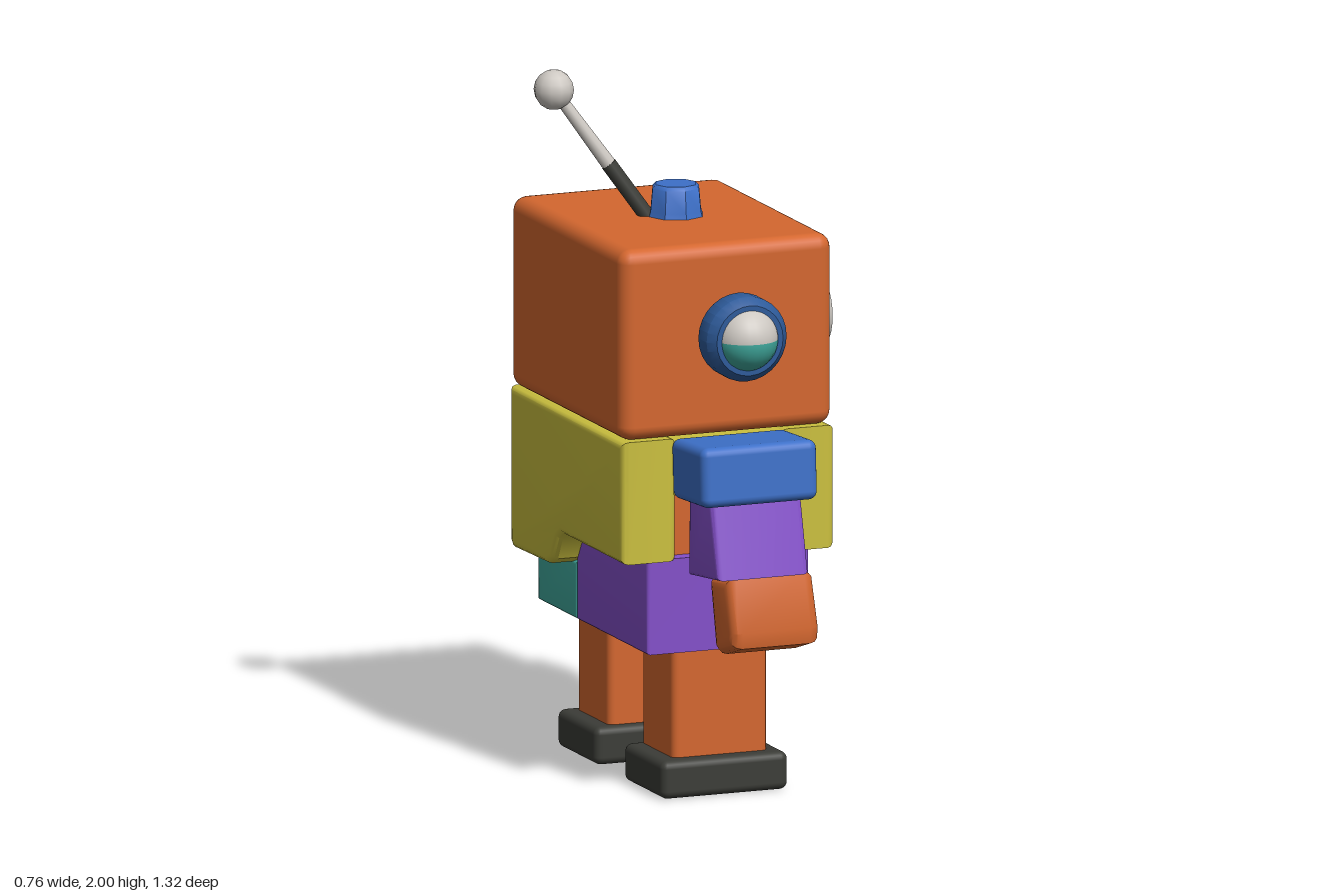
import * as THREE from 'three';
import { toCreasedNormals } from 'three/addons/utils/BufferGeometryUtils.js';
import { RoundedBoxGeometry } from 'three/addons/geometries/RoundedBoxGeometry.js';

const mat = (name, color) => new THREE.MeshStandardMaterial({ name, color });

export function createModel() {
  const M = {
    orange: mat('orange', 0xd4672f),
    yellow: mat('yellow', 0xcbc03f),
    purple: mat('purple', 0x8450ca),
    teal: mat('teal', 0x40a99d),
    blue: mat('blue', 0x3d70c8),
    navy: mat('darkBlue', 0x2e5b9a),
    pale: mat('paleGrey', 0xcdc8c2),
    dark: mat('charcoal', 0x3b3c37),
  };
  const model = new THREE.Group();
  model.name = 'robot';

  const add = (name, geo, material, parent = model) => {
    const mesh = new THREE.Mesh(geo, material);
    mesh.name = name;
    parent.add(mesh);
    return mesh;
  };

  // Rounded box given by its limits on each axis
  const box = (name, material, [x0, x1], [y0, y1], [z0, z1], r = 0.02) => {
    const mesh = add(name, new RoundedBoxGeometry(x1 - x0, y1 - y0, z1 - z0, 3, r), material);
    mesh.position.set((x0 + x1) / 2, (y0 + y1) / 2, (z0 + z1) / 2);
    return mesh;
  };

  // Bevelled slab: outline in (z, y), extruded along x
  const slab = (name, material, outline, x0, x1, b = 0.02) => {
    const pts = outline.map(([z, y]) => new THREE.Vector2(-z, y));
    const geo = new THREE.ExtrudeGeometry(new THREE.Shape(pts), {
      depth: x1 - x0 - 2 * b, bevelEnabled: true, bevelSize: b,
      bevelThickness: b, bevelOffset: -b, bevelSegments: 3, curveSegments: 4,
    });
    geo.translate(0, 0, x0 + b).rotateY(Math.PI / 2);
    return add(name, toCreasedNormals(geo, 0.6), material);
  };

  // Turned part from (radius, height) points, smooth with kept edges
  const turned = (profile, sides) => toCreasedNormals(
    new THREE.LatheGeometry(profile.map(([r, h]) => new THREE.Vector2(r, h)), sides), 0.7);

  // Head, facing +x
  box('head', M.orange, [-0.33, 0.31], [1.035, 1.58], [-0.42, 0.405], 0.04);

  // Eyes: pale rim with a domed dark lens
  for (const z of [0.19, -0.205]) {
    const eye = new THREE.Group();
    eye.name = 'eye';
    eye.position.set(0.3, 1.32, z);
    eye.rotation.z = -Math.PI / 2;
    model.add(eye);
    add('eyeRim', turned([[0.117, 0], [0.117, 0.035], [0.105, 0.052], [0.086, 0.054], [0.08, 0.04]], 28), M.pale, eye);
    add('eyeLens', turned([[0.088, 0.046], [0.075, 0.06], [0.045, 0.07], [0, 0.074]], 28), M.dark, eye);
  }

  // Ears: dark blue drum with a ball lamp, pointing outward along z
  for (const s of [1, -1]) {
    const ear = new THREE.Group();
    ear.name = 'ear';
    ear.position.set(0.005, 1.325, s * 0.4);
    model.add(ear);
    const drum = add('earDrum', turned([[0.09, 0], [0.1, 0.02], [0.121, 0.045], [0.121, 0.105], [0.1, 0.13], [0, 0.13]], 28), M.navy, ear);
    drum.rotation.x = s * Math.PI / 2;
    const ball = (name, material, start, length) => {
      const mesh = add(name, new THREE.SphereGeometry(0.092, 24, 12, 0, Math.PI * 2, start, length), material, ear);
      mesh.position.z = s * 0.096;
    };
    if (s > 0) {
      ball('earLampTop', M.pale, 0, Math.PI / 2);
      ball('earLampBottom', M.teal, Math.PI / 2, Math.PI / 2);
    } else ball('earLamp', M.pale, 0, Math.PI);
  }

  // Knob on top of the head
  const knob = add('knob', turned([[0.085, 0], [0.076, 0.03], [0.07, 0.095], [0.06, 0.105], [0, 0.105]], 8), M.blue);
  knob.position.set(0, 1.565, 0);

  // Antenna: dark socket, pale rod, ball
  const foot = new THREE.Vector3(-0.065, 1.56, -0.02);
  const tip = new THREE.Vector3(-0.325, 1.943, -0.105);
  const rod = (name, material, t0, t1, r0, r1) => {
    const a = foot.clone().lerp(tip, t0), b = foot.clone().lerp(tip, t1);
    const mesh = add(name, new THREE.CylinderGeometry(r1, r0, a.distanceTo(b), 10), material);
    mesh.position.copy(a).lerp(b, 0.5);
    mesh.quaternion.setFromUnitVectors(new THREE.Vector3(0, 1, 0), b.sub(a).normalize());
  };
  rod('antennaSocket', M.dark, 0, 0.44, 0.022, 0.022);
  rod('antennaRod', M.pale, 0.42, 1, 0.021, 0.016);
  add('antennaBall', new THREE.SphereGeometry(0.057, 12, 8), M.pale).position.copy(tip);

  // Jacket with a stepped hem: front and back panels joined above the armholes
  const jacket = [[0.405, 1.035], [0.405, 0.685], [-0.045, 0.685], [-0.075, 0.665], [-0.11, 0.6],
    [-0.15, 0.58], [-0.4, 0.575], [-0.418, 0.595], [-0.42, 1.035]];
  slab('jacketFront', M.yellow, jacket, 0.15, 0.312);
  slab('jacketBack', M.yellow, jacket, -0.33, -0.165);
  box('jacketYoke', M.yellow, [-0.2, 0.19], [0.87, 1.03], [-0.415, 0.4], 0.01);
  box('torso', M.orange, [-0.2, 0.19], [0.5, 1.02], [-0.36, 0.35], 0.01);

  // Two-colour hips under the hem
  slab('hipsPurple', M.purple, [[0.395, 0.69], [0.395, 0.42], [-0.122, 0.42], [-0.122, 0.6], [-0.06, 0.69]], -0.25, 0.24, 0.01);
  slab('hipsTeal', M.teal, [[-0.12, 0.585], [-0.12, 0.42], [-0.405, 0.42], [-0.405, 0.585]], -0.25, 0.24, 0.01);

  // Legs and shoes
  for (const [z, s] of [[0.226, 1], [-0.243, -1]]) {
    box('leg', M.orange, [-0.15, 0.137], [0.07, 0.45], [z - 0.116, z + 0.116]);
    const c = z + 0.017 * s * (s > 0 ? 1 : 0.1);
    box('shoe', M.dark, [-0.2, 0.182], [0, 0.108], [c - 0.145, c + 0.145], 0.022);
  }

  // Arms: tilted shoulder, flared sleeve, faceted hand
  for (const s of [1, -1]) {
    const shoulder = box('shoulder', M.blue, [-0.18, 0.17], [0.872, 1.042], s > 0 ? [0.395, 0.635] : [-0.645, -0.405], 0.025);
    shoulder.rotation.x = -s * 0.06;
    const sleeve = s > 0
      ? [[0.43, 0.9], [0.425, 0.647], [0.648, 0.672], [0.59, 0.9]]
      : [[-0.605, 0.9], [-0.66, 0.675], [-0.432, 0.645], [-0.465, 0.9]];
    slab('sleeve', M.purple, sleeve, -0.14, 0.135, 0.015);
  }
  slab('hand', M.orange, [[0.61, 0.67], [0.475, 0.65], [0.478, 0.62], [0.515, 0.455], [0.545, 0.44], [0.655, 0.475], [0.662, 0.52]].reverse()
    .reverse(), -0.1, 0.165, 0.03);
  slab('hand', M.orange, [[-0.5, 0.66], [-0.65, 0.66], [-0.66, 0.47], [-0.635, 0.435], [-0.56, 0.43], [-0.508, 0.48]], -0.1, 0.165, 0.03);

  return model;
}
